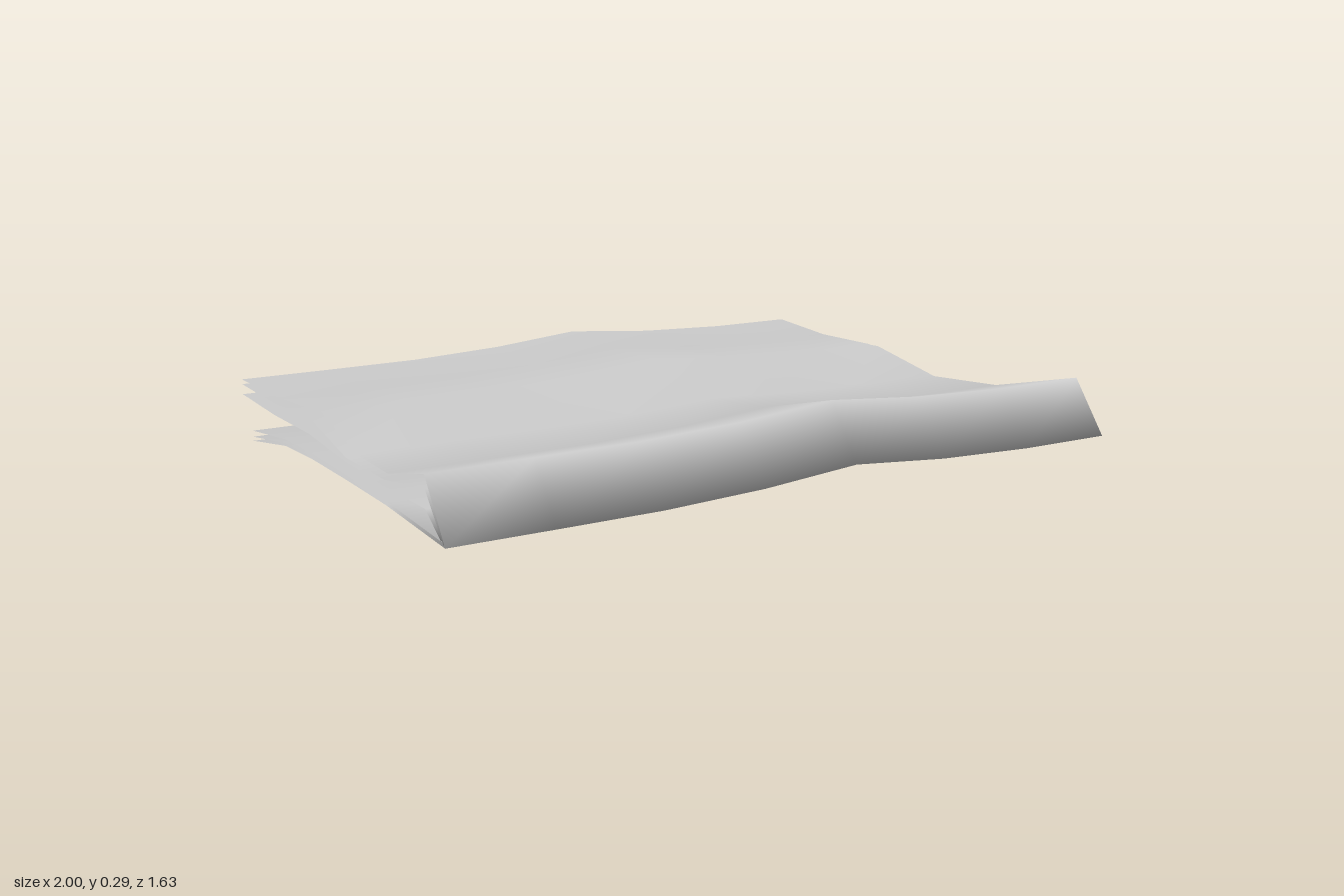
import * as THREE from 'three';

// Stations across the width and how strongly the ripple lifts each one
const STATIONS = [
  [-1, 0], [-0.72, 0], [-0.43, 0.03], [-0.14, 0.35],
  [0.14, 1], [0.43, 0.33], [0.72, 0.03], [1, 0],
];

// Profiles run from the rear edge on top, round the front fold, to the rear
// edge underneath: [z, height, ripple height, half width]
const PROFILES = {
  outerSheet: [
    [-0.815, 0.178, 0.039, 1], [-0.51, 0.178, 0.039, 0.972], [-0.21, 0.2, 0.036, 0.945],
    [0.09, 0.152, 0.02, 0.952], [0.39, 0.178, 0.033, 0.975], [0.7, 0.26, 0.037, 1],
    [0.815, 0.114, 0.036, 1],
    [0.4, 0.1, 0.02, 0.985], [0.09, 0.084, 0.02, 0.98], [-0.2, 0.07, 0.025, 0.98],
    [-0.43, 0.055, 0.032, 0.987], [-0.725, 0.003, 0.036, 1],
  ],
  middleSheet: [
    [-0.815, 0.163, 0.039, 1], [-0.51, 0.165, 0.036, 0.99], [-0.21, 0.189, 0.034, 0.982],
    [0.09, 0.146, 0.02, 0.98], [0.39, 0.164, 0.03, 0.985], [0.7, 0.225, 0.034, 1],
    [0.805, 0.118, 0.03, 1],
    [0.4, 0.105, 0.02, 0.985], [0.09, 0.09, 0.02, 0.98], [-0.2, 0.077, 0.025, 0.98],
    [-0.43, 0.063, 0.032, 0.987], [-0.725, 0.016, 0.036, 1],
  ],
  innerSheet: [
    [-0.815, 0.131, 0.036, 1], [-0.51, 0.131, 0.03, 0.992], [-0.21, 0.143, 0.024, 0.985],
    [0.09, 0.138, 0.016, 0.985], [0.39, 0.15, 0.02, 0.99], [0.7, 0.176, 0.024, 1],
    [0.79, 0.124, 0.024, 1],
    [0.4, 0.111, 0.02, 0.985], [0.09, 0.098, 0.02, 0.98], [-0.2, 0.086, 0.025, 0.98],
    [-0.43, 0.075, 0.03, 0.987], [-0.725, 0.035, 0.032, 1],
  ],
};

// Sweeps a folded profile across the width, adding the ripple
function sheetGeometry(profile) {
  const positions = [];
  const index = [];
  const n = STATIONS.length;
  for (const [z, y, ripple, half] of profile) {
    for (const [x, lift] of STATIONS) positions.push(x * half, y + ripple * lift, z);
  }
  for (let i = 0; i < profile.length - 1; i++) {
    for (let j = 0; j < n - 1; j++) {
      const a = i * n + j;
      const b = a + n;
      index.push(a, b, a + 1, b, b + 1, a + 1);
    }
  }
  const geometry = new THREE.BufferGeometry();
  geometry.setAttribute('position', new THREE.Float32BufferAttribute(positions, 3));
  geometry.setIndex(index);
  geometry.computeVertexNormals();
  return geometry;
}

export function createModel() {
  const group = new THREE.Group();
  group.name = 'foldedSheets';
  const material = new THREE.MeshStandardMaterial({ color: 0xcccccc, side: THREE.DoubleSide });
  for (const [name, profile] of Object.entries(PROFILES)) {
    const sheet = new THREE.Mesh(sheetGeometry(profile), material);
    sheet.name = name;
    group.add(sheet);
  }
  return group;
}
